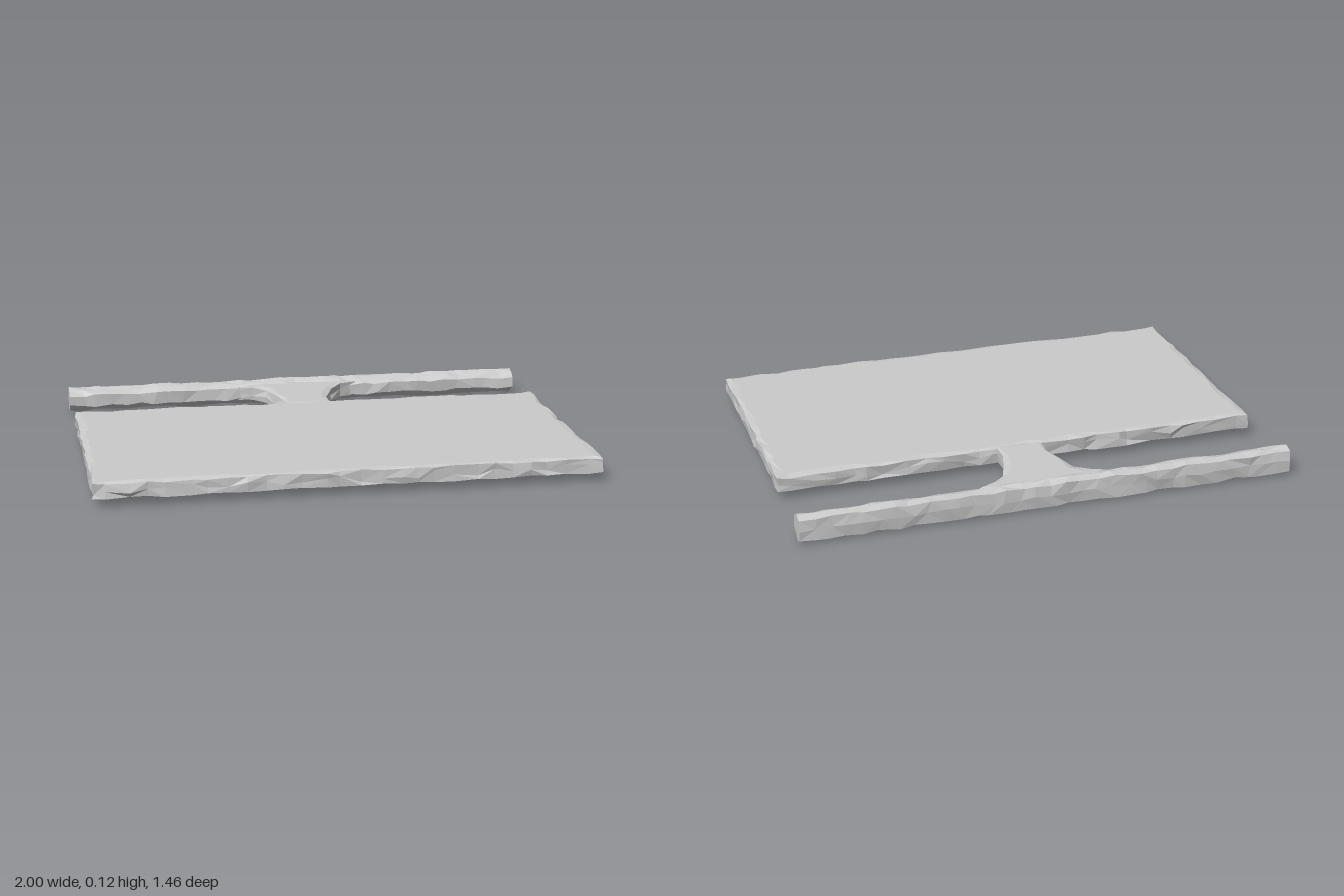
import * as THREE from 'three';

const material = new THREE.MeshStandardMaterial({ color: 0xcccccc, flatShading: true });

// Seeded random numbers for the chipped stone edges
let seed = 11;
function rand(min = 0, max = 1) {
  seed = (seed * 16807) % 2147483647;
  return min + (max - min) * (seed / 2147483647);
}

// Skin a stack of equal rings and cap both ends.
// flatten gives the ring in 2D, counterclockwise as seen from the end of the stack.
function loft(name, rings, flatten) {
  const n = rings[0].length;
  const positions = rings.flat().flatMap((p) => [p.x, p.y, p.z]);
  const index = [];
  for (let r = 0; r < rings.length - 1; r++) {
    for (let i = 0; i < n; i++) {
      const j = (i + 1) % n;
      const a = r * n + i, b = r * n + j, c = b + n, d = a + n;
      if (rand() < 0.5) index.push(a, b, c, a, c, d);
      else index.push(a, b, d, b, c, d);
    }
  }
  const last = (rings.length - 1) * n;
  for (const [a, b, c] of THREE.ShapeUtils.triangulateShape(rings[0].map(flatten), [])) index.push(c, b, a);
  for (const [a, b, c] of THREE.ShapeUtils.triangulateShape(rings.at(-1).map(flatten), [])) index.push(last + a, last + b, last + c);

  const geometry = new THREE.BufferGeometry();
  geometry.setAttribute('position', new THREE.Float32BufferAttribute(positions, 3));
  geometry.setIndex(index);
  geometry.computeVertexNormals();
  const mesh = new THREE.Mesh(geometry, material);
  mesh.name = name;
  return mesh;
}

// Split an [x, z] outline into uneven steps
function subdivide(corners, step) {
  const points = [];
  corners.forEach(([x, z], i) => {
    const [x2, z2] = corners[(i + 1) % corners.length];
    const count = Math.max(1, Math.round(Math.hypot(x2 - x, z2 - z) / step));
    for (let k = 0; k < count; k++) {
      const t = (k + (k ? rand(-0.3, 0.3) : 0)) / count;
      points.push(new THREE.Vector2(x + (x2 - x) * t, z + (z2 - z) * t));
    }
  });
  return points;
}

// Flat plate with rough, chipped sides
function chippedPlate(name, corners, step, bottom, top) {
  const outline = subdivide(corners, step);
  const n = outline.length;
  const outward = outline.map((p, i) => {
    const d = outline[(i + 1) % n].clone().sub(p).normalize()
      .add(p.clone().sub(outline[(i + n - 1) % n]).normalize()).normalize();
    return new THREE.Vector2(-d.y, d.x);
  });
  const h = top - bottom;
  // Each level: [height, height jitter, least inset, most inset]
  const levels = [
    [bottom, 0, 0.014, 0.035],
    [bottom + 0.06 * h, 0.05 * h, 0.001, 0.012],
    [bottom + 0.5 * h, 0.25 * h, 0, 0.012],
    [top - 0.08 * h, 0.07 * h, 0.001, 0.013],
    [top, 0, 0.014, 0.045],
  ];
  const rings = levels.map(([y, jitter, near, far]) => outline.map((p, i) => {
    const inset = rand(near, far);
    return new THREE.Vector3(p.x - outward[i].x * inset, y + rand(-jitter, jitter), p.y - outward[i].y * inset);
  }));
  return loft(name, rings, (p) => new THREE.Vector2(p.x, -p.z));
}

// Rough-hewn bar along x, with a profile of [z, y] points
function hewnBar(name, profile, x0, x1, segments) {
  const rings = [];
  for (let s = 0; s <= segments; s++) {
    const end = s === 0 || s === segments;
    rings.push(profile.map(([z, y]) => new THREE.Vector3(
      x0 + (x1 - x0) * (s / segments) + (end ? 0 : rand(-0.018, 0.018)),
      y + rand(-0.006, 0.006),
      z + rand(-0.004, 0.004),
    )));
  }
  return loft(name, rings, (p) => new THREE.Vector2(-p.z, p.y));
}

export function createModel() {
  seed = 11;
  const group = new THREE.Group();
  group.name = 'stoneSlabWithRail';

  // Main slab
  group.add(chippedPlate('slab', [[-1, 0.725], [0.997, 0.725], [0.997, -0.335], [-1, -0.335]], 0.075, 0.033, 0.1));

  // Neck that flares from the slab to the rail
  const neckSide = [[0.1, -0.3], [0.105, -0.4], [0.125, -0.48], [0.15, -0.56], [0.2, -0.615], [0.28, -0.65], [0.12, -0.7]];
  const neckOutline = [...neckSide, ...neckSide.map(([x, z]) => [-x, z]).reverse()];
  group.add(chippedPlate('neck', neckOutline, 0.08, 0.034, 0.099));

  // Rail across the back
  const railProfile = [
    [-0.637, 0.04], [-0.665, 0.022], [-0.69, 0.008], [-0.724, 0.016],
    [-0.727, 0.062], [-0.724, 0.104], [-0.69, 0.112], [-0.66, 0.102], [-0.637, 0.086],
  ].reverse();
  railProfile.reverse();
  group.add(hewnBar('rail', railProfile, -1, 0.997, 32));

  return group;
}
